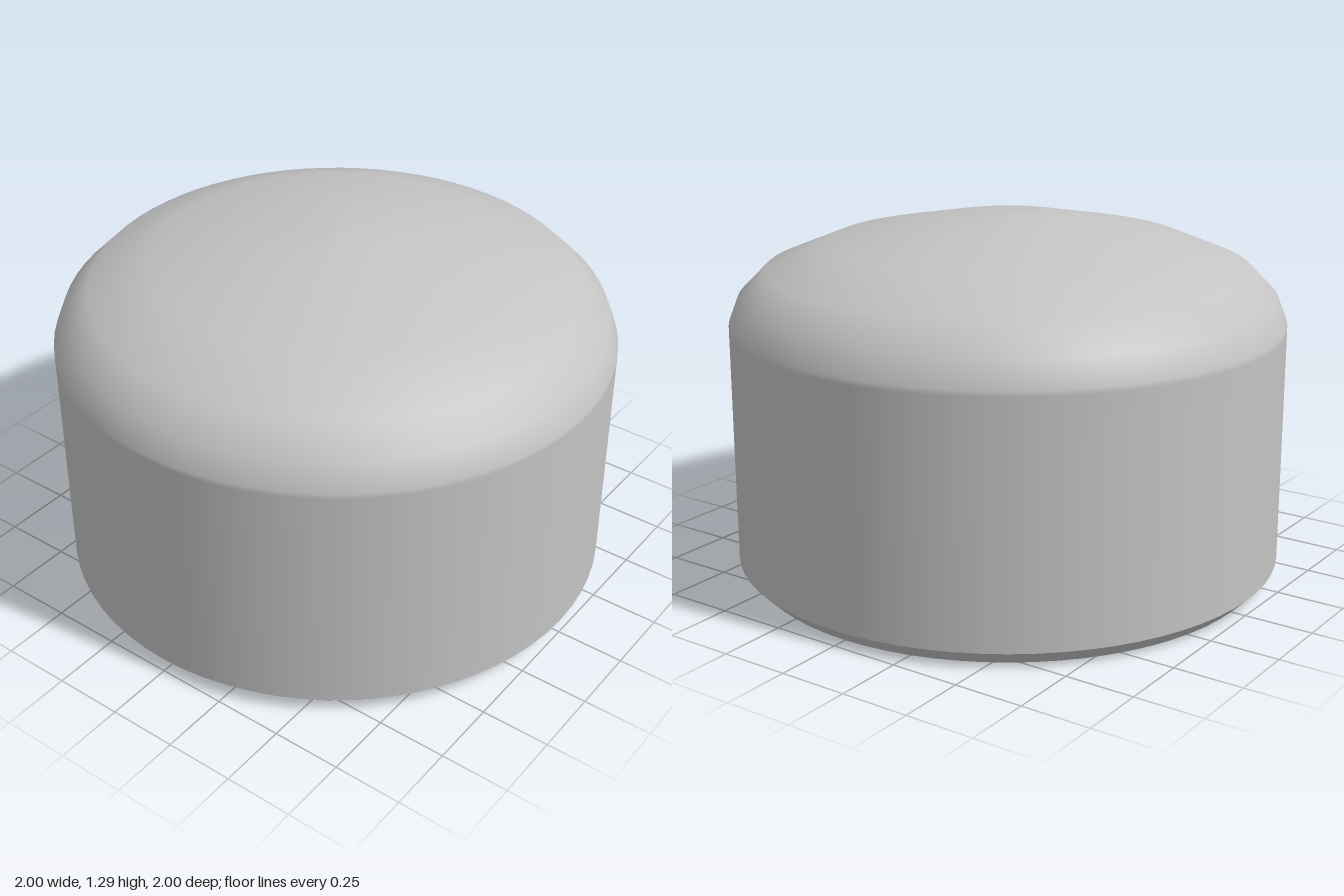
import * as THREE from 'three';

export function createModel() {
  const model = new THREE.Group();
  const steel = new THREE.MeshStandardMaterial({ color: 0xc4c4c4 });
  steel.name = 'light grey';

  // Each section is a separate surface of revolution, so edges between them stay sharp.
  const addSection = (name, points) => {
    const profile = points.map(([r, y]) => new THREE.Vector2(r, y));
    const mesh = new THREE.Mesh(new THREE.LatheGeometry(profile, 72), steel);
    mesh.name = name;
    model.add(mesh);
  };

  const rim = 0.945, hole = 0.585, depth = 0.8, bevel = 0.055;

  // Blind bore opening downwards
  addSection('boreCeiling', [[0, depth], [hole, depth]]);
  addSection('boreWall', [[hole, depth], [hole, 0]]);
  addSection('bottomRing', [[hole, 0], [rim, 0]]);
  addSection('bottomChamfer', [[rim, 0], [1, bevel]]);

  // Straight wall running smoothly into the shallow dome
  addSection('bodyAndDome', [
    [1, bevel], [1, 0.91], [1, 0.93], [0.965, 1.02], [0.87, 1.115],
    [0.65, 1.205], [0.28, 1.28], [0, 1.295],
  ]);

  return model;
}
